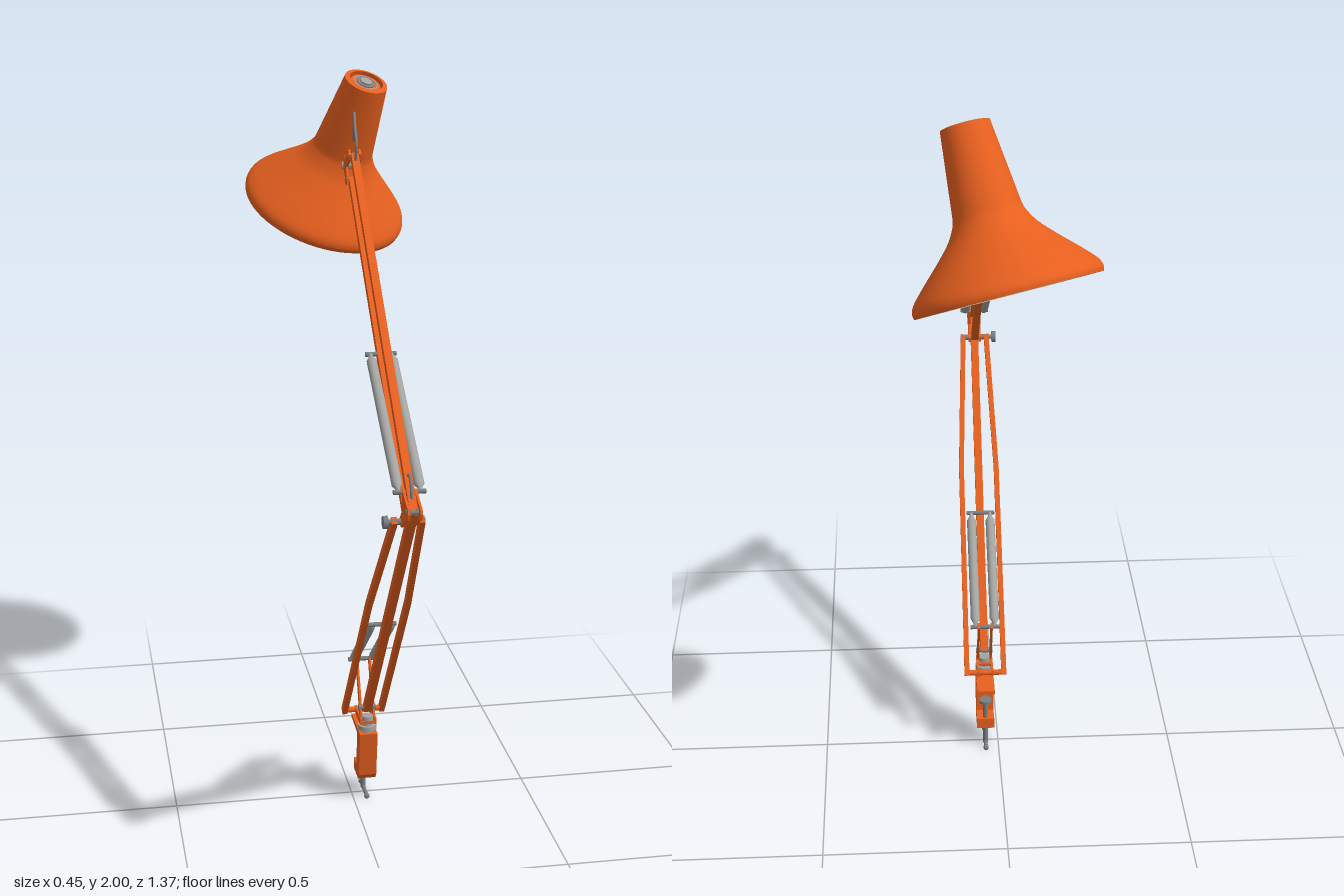
import * as THREE from 'three';

const V = (x, y, z) => new THREE.Vector3(x, y, z);
const material = (name, color) => {
  const m = new THREE.MeshStandardMaterial({ color });
  m.name = name;
  return m;
};

export function createModel() {
  const orange = material('orange paint', 0xe8601f);
  const steel = material('spring steel', 0xa3a3a1);
  const dark = material('dark metal', 0x7b7d7f);
  const white = material('reflector grey', 0xb4b2af);

  const root = new THREE.Group();
  root.name = 'deskLamp';
  // The arm lies in its own plane, slightly off centre
  const arm = new THREE.Group();
  arm.name = 'armAndClamp';
  arm.position.x = 0.037;
  root.add(arm);

  const add = (parent, name, geo, mat) => {
    const m = new THREE.Mesh(geo, mat);
    m.name = name;
    parent.add(m);
    return m;
  };
  // Rectangular bar between two points: w across x, h in the arm plane
  const bar = (name, a, b, w, h) => {
    const m = add(arm, name, new THREE.BoxGeometry(h, w, a.distanceTo(b)), orange);
    m.position.copy(a).lerp(b, 0.5);
    m.quaternion.setFromRotationMatrix(new THREE.Matrix4().lookAt(b, a, V(1, 0, 0)));
  };
  // Round rod between two points
  const rod = (name, a, b, r, mat) => {
    const m = add(arm, name, new THREE.CylinderGeometry(r, r, a.distanceTo(b), 16), mat);
    m.position.copy(a).lerp(b, 0.5);
    m.quaternion.setFromUnitVectors(V(0, 1, 0), b.clone().sub(a).normalize());
  };
  const pin = (name, y, z, half, r, mat = dark) => rod(name, V(-half, y, z), V(half, y, z), r, mat);
  // Flat plate drawn as [z, y] points, thickness along x
  const plate = (name, pts, thick, x = 0) => {
    const shape = new THREE.Shape(pts.map(p => new THREE.Vector2(p[0], p[1])));
    const geo = new THREE.ExtrudeGeometry(shape, { depth: thick, bevelEnabled: false });
    geo.translate(0, 0, -thick / 2).rotateY(-Math.PI / 2);
    add(arm, name, geo, orange).position.x = x;
  };
  const wire = (name, pts, r) => add(arm, name,
    new THREE.TubeGeometry(new THREE.CatmullRomCurve3(pts), 40, r, 8), dark);

  // Clamp with screw
  plate('clampBody', [[0.075, 0.215], [-0.065, 0.215], [-0.065, 0.204], [0.024, 0.2], [0.016, 0.095],
    [-0.03, 0.095], [-0.03, 0.063], [0.04, 0.063], [0.055, 0.08]], 0.05);
  rod('clampScrew', V(0, 0.005, -0.018), V(0, 0.15, -0.018), 0.007, dark);
  rod('clampPad', V(0, 0.148, -0.018), V(0, 0.156, -0.018), 0.018, dark);
  rod('clampHandle', V(0, 0.009, 0.045), V(0, 0.009, -0.05), 0.0055, dark);
  for (const z of [0.045, -0.05]) {
    add(arm, 'handleKnob', new THREE.SphereGeometry(0.008, 12, 8), dark).position.set(0, 0.0085, z);
  }
  rod('swivelPost', V(0, 0.21, 0.048), V(0, 0.262, 0.048), 0.017, steel);
  rod('swivelCollar', V(0, 0.222, 0.048), V(0, 0.235, 0.048), 0.026, steel);

  // Base bracket carrying the lower pivots and the spring anchor
  for (const s of [-1, 1]) {
    bar('baseRail', V(s * 0.02, 0.25, 0.065), V(s * 0.02, 0.25, -0.028), 0.006, 0.018);
    bar('springStrut', V(s * 0.018, 0.255, 0.052), V(s * 0.018, 0.41, -0.022), 0.006, 0.02);
  }
  bar('baseBridge', V(0, 0.246, 0.065), V(0, 0.246, 0.025), 0.04, 0.008);
  pin('basePinFront', 0.285, 0.044, 0.024, 0.008);
  pin('basePinRear', 0.25, -0.02, 0.06, 0.008, orange);
  pin('springAnchorPin', 0.405, -0.02, 0.042, 0.006);

  // Lower arm: one central bar and a splayed pair
  bar('lowerCentreBar', V(0, 0.28, 0.044), V(0, 1.075, 0.66), 0.022, 0.021);
  for (const s of [-1, 1]) {
    const foot = V(s * 0.053, 0.245, -0.024), bend = V(s * 0.051, 0.72, 0.352), top = V(s * 0.034, 1.035, 0.601);
    bar('lowerSideBar', foot, bend, 0.014, 0.021);
    bar('lowerSideBarTop', bend, top, 0.014, 0.021);
  }

  // Elbow plates, pins, tightening knob and cable loop
  for (const s of [-1, 1]) {
    plate('elbowPlate', [[0.687, 1.077], [0.683, 1.06], [0.668, 1.055], [0.6, 1.016], [0.585, 1.02],
      [0.584, 1.035], [0.615, 1.065], [0.604, 1.108], [0.614, 1.118], [0.63, 1.108], [0.665, 1.094],
      [0.68, 1.09]], 0.006, s * 0.015);
  }
  pin('elbowPinFront', 1.075, 0.662, 0.02, 0.008);
  pin('elbowPinRear', 1.03, 0.597, 0.042, 0.008);
  pin('elbowSpringPin', 1.11, 0.613, 0.04, 0.006);
  rod('elbowKnobStem', V(-0.035, 1.03, 0.597), V(-0.055, 1.03, 0.597), 0.006, dark);
  rod('elbowKnob', V(-0.05, 1.03, 0.597), V(-0.062, 1.03, 0.597), 0.016, dark);
  wire('elbowCable', [V(0, 1.085, 0.645), V(0, 1.125, 0.635), V(0, 1.15, 0.615), V(0, 1.145, 0.597),
    V(0, 1.115, 0.58)], 0.004);

  // Upper arm: two parallel bars
  bar('upperTopBar', V(0, 1.075, 0.66), V(0, 1.795, -0.168), 0.02, 0.02);
  bar('upperBottomBar', V(0, 1.03, 0.597), V(0, 1.728, -0.205), 0.02, 0.02);

  // Paired tension springs with narrowed ends
  const springPair = (name, a, b) => {
    const L = a.distanceTo(b);
    const profile = [[0, 0], [0.006, 0], [0.006, 0.012], [0.0132, 0.024], [0.0132, L - 0.024],
      [0.006, L - 0.012], [0.006, L], [0, L]].map(p => new THREE.Vector2(...p));
    const geo = new THREE.LatheGeometry(profile, 16);
    for (const s of [-1, 1]) {
      const m = add(arm, name, geo, steel);
      m.position.copy(a).setX(s * 0.027);
      m.quaternion.setFromUnitVectors(V(0, 1, 0), b.clone().sub(a).normalize());
    }
  };
  springPair('lowerSpring', V(0, 0.405, -0.02), V(0, 0.622, 0.255));
  springPair('upperSpring', V(0, 1.11, 0.613), V(0, 1.352, 0.23));
  pin('lowerSpringPin', 0.622, 0.255, 0.04, 0.006);
  pin('upperSpringPin', 1.352, 0.23, 0.04, 0.006);

  // Head bracket linking both bars to the shade
  for (const s of [-1, 1]) {
    plate('headPlate', [[-0.155, 1.8], [-0.17, 1.812], [-0.185, 1.808], [-0.225, 1.775], [-0.258, 1.768],
      [-0.262, 1.75], [-0.235, 1.745], [-0.205, 1.712], [-0.188, 1.716], [-0.188, 1.732], [-0.205, 1.76],
      [-0.16, 1.785]], 0.006, s * 0.014);
  }
  pin('headPinTop', 1.795, -0.17, 0.019, 0.008);
  pin('headPinBottom', 1.724, -0.2, 0.019, 0.008);
  pin('headPinShade', 1.758, -0.25, 0.021, 0.01, steel);
  rod('shadeStem', V(0, 1.757, -0.245), V(0.005, 1.77, -0.34), 0.011, orange);
  wire('headCable', [V(0, 1.785, -0.145), V(0.001, 1.83, -0.142), V(0.004, 1.872, -0.185),
    V(0.01, 1.9, -0.23), V(0.014, 1.885, -0.26), V(0.02, 1.825, -0.29), V(0.025, 1.81, -0.32)], 0.004);

  // Shade, built along its own axis from the rim centre
  const shade = new THREE.Group();
  shade.name = 'shade';
  shade.position.set(0, 1.61, -0.475);
  shade.quaternion.setFromUnitVectors(V(0, 1, 0), V(0.095, 0.365, 0.16).normalize());
  root.add(shade);
  const lathe = (name, pts, mat, smooth = false) => {
    let p = pts.map(q => new THREE.Vector2(q[0], q[1]));
    if (smooth) p = new THREE.SplineCurve(p).getPoints(40);
    add(shade, name, new THREE.LatheGeometry(p, 64), mat);
  };
  lathe('shadeCone', [[0.229, 0], [0.231, 0.014], [0.222, 0.034], [0.19, 0.068], [0.145, 0.112],
    [0.108, 0.152], [0.088, 0.186], [0.083, 0.205]], orange, true);
  lathe('shadeNeck', [[0.083, 0.205], [0.06, 0.408]], orange);
  lathe('neckLip', [[0.06, 0.408], [0.047, 0.411]], orange);
  lathe('neckInside', [[0.047, 0.411], [0.046, 0.385]], orange);
  lathe('shadeRim', [[0.225, 0], [0.229, 0]], orange);
  lathe('reflector', [[0.07, 0.205], [0.08, 0.186], [0.1, 0.152], [0.137, 0.112], [0.182, 0.068],
    [0.215, 0.034], [0.225, 0.014], [0.225, 0]], white, true);
  lathe('reflectorTop', [[0, 0.206], [0.071, 0.205]], white);

  // Vent cap in the neck
  const disc = (name, r, y, h, mat) =>
    add(shade, name, new THREE.CylinderGeometry(r, r, h, 32), mat).position.set(0, y, 0);
  disc('ventFloor', 0.047, 0.388, 0.006, dark);
  disc('ventPlate', 0.042, 0.396, 0.014, orange);
  disc('ventWell', 0.025, 0.4, 0.01, dark);
  disc('ventHub', 0.016, 0.404, 0.012, steel);
  const ring = add(shade, 'ventRing', new THREE.TorusGeometry(0.033, 0.0025, 8, 32), steel);
  ring.rotation.x = Math.PI / 2;
  ring.position.y = 0.403;

  // Bulb and socket
  add(shade, 'bulb', new THREE.SphereGeometry(0.065, 32, 20), white).position.y = 0.11;
  disc('bulbSocket', 0.032, 0.18, 0.06, white);

  return root;
}
